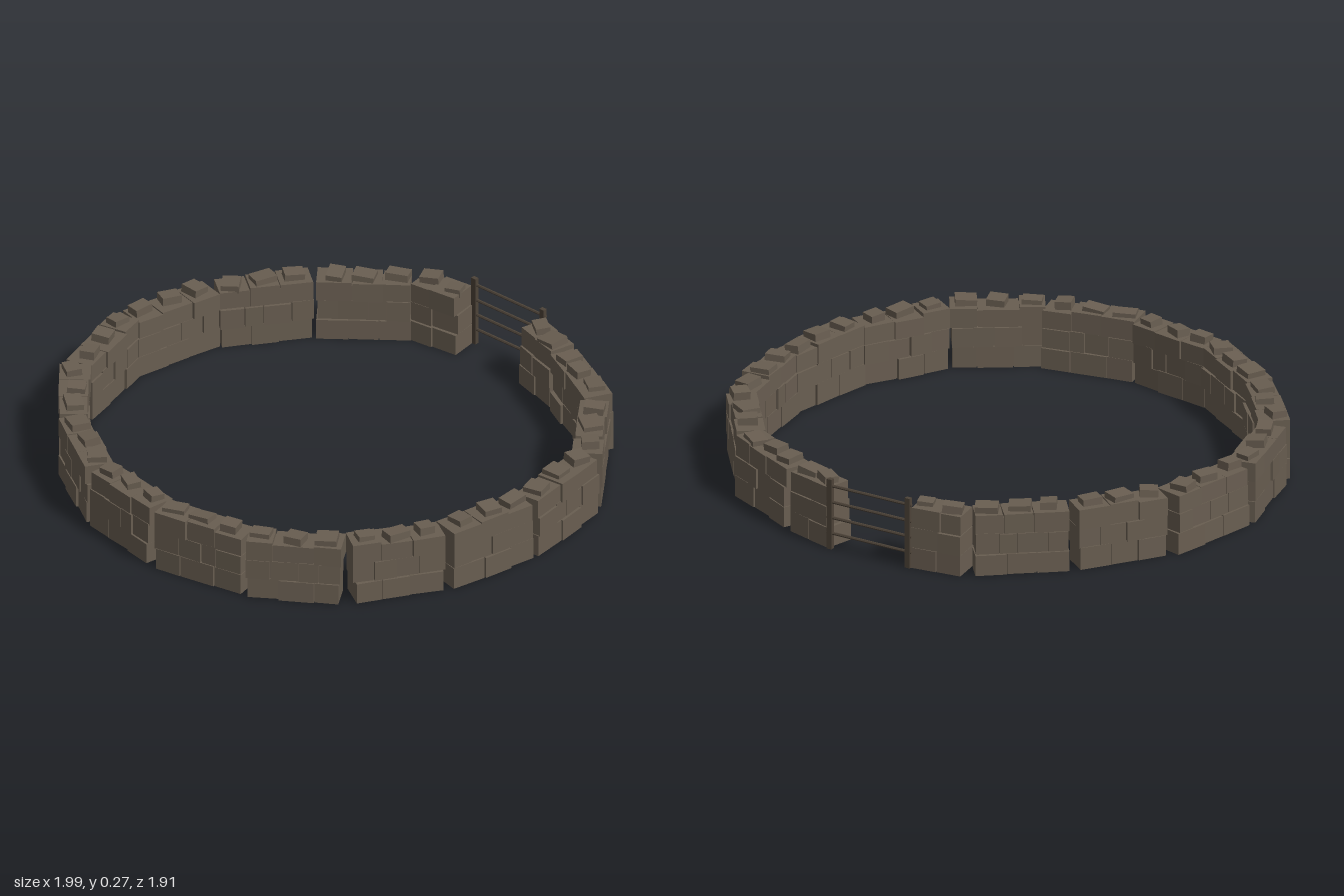
import * as THREE from 'three';

const stone = new THREE.MeshStandardMaterial({ color: 0x695e51, flatShading: true });
stone.name = 'brown stone';
const wood = new THREE.MeshStandardMaterial({ color: 0x4d4338, flatShading: true });
wood.name = 'dark wood';

// Small seeded generator for irregular masonry
let seed = 11;
const rand = (a, b) => {
  seed = (seed * 16807) % 2147483647;
  return a + (b - a) * (seed / 2147483647);
};

// Centre lines of the wall panels: x1, z1, x2, z2
const PANELS = [
  [0.17, -0.905, 0.36, -0.85], [0.38, -0.84, 0.675, -0.69],
  [0.68, -0.66, 0.89, -0.38], [0.9, -0.37, 0.937, -0.01],
  [0.935, 0, 0.862, 0.34], [0.85, 0.35, 0.67, 0.63],
  [0.655, 0.655, 0.375, 0.84], [0.365, 0.83, 0.02, 0.895],
  [0, 0.885, -0.325, 0.83], [-0.335, 0.825, -0.625, 0.645],
  [-0.63, 0.63, -0.86, 0.37], [-0.86, 0.345, -0.94, 0],
  [-0.935, -0.01, -0.855, -0.355], [-0.835, -0.365, -0.635, -0.635],
  [-0.62, -0.65, -0.355, -0.86], [-0.34, -0.88, -0.15, -0.905],
];
const ROWS = [0, 0.08, 0.155, 0.228];

function box(parent, name, material, size, position) {
  const mesh = new THREE.Mesh(new THREE.BoxGeometry(...size), material);
  mesh.name = name;
  mesh.position.set(...position);
  parent.add(mesh);
  return mesh;
}

// One straight panel: local x runs along the wall, local z across it
function makePanel([x1, z1, x2, z2]) {
  const panel = new THREE.Group();
  panel.name = 'wallPanel';
  const length = Math.hypot(x2 - x1, z2 - z1);
  panel.position.set((x1 + x2) / 2, 0, (z1 + z2) / 2);
  panel.rotation.y = -Math.atan2(z2 - z1, x2 - x1);

  // Solid core behind the joints
  box(panel, 'wallCore', stone, [length - 0.02, 0.215, 0.085], [0, 0.1075, 0]);

  // Three courses of uneven blocks
  const count = Math.max(2, Math.round(length / 0.105));
  for (let r = 0; r < 3; r++) {
    const n = count + (r === 1 && length > 0.25 ? 1 : 0);
    const cuts = [];
    for (let i = 0; i <= n; i++) {
      const shift = i === 0 || i === n ? rand(-0.005, 0.005) : rand(-0.02, 0.02);
      cuts.push(-length / 2 + (length * i) / n + shift);
    }
    for (let i = 0; i < n; i++) {
      const y0 = ROWS[r];
      const y1 = ROWS[r + 1] + (r === 2 ? rand(-0.008, 0.006) : rand(-0.002, 0.006));
      const block = box(panel, 'wallBlock', stone,
        [cuts[i + 1] - cuts[i] - 0.003, y1 - y0 - 0.002, rand(0.096, 0.112)],
        [(cuts[i] + cuts[i + 1]) / 2, (y0 + y1) / 2 - 0.001, rand(-0.004, 0.004)]);
      block.rotation.y = rand(-0.035, 0.035);
    }
  }

  // Loose cap stones along the top
  const caps = length > 0.25 ? 3 : 2;
  for (let i = 0; i < caps; i++) {
    const cap = box(panel, 'capStone', stone,
      [rand(0.055, 0.085), 0.03, rand(0.05, 0.075)],
      [((i + 0.5) / caps - 0.5) * length + rand(-0.015, 0.015), rand(0.231, 0.24), rand(-0.01, 0.01)]);
    cap.rotation.set(rand(-0.1, 0.1), rand(-0.35, 0.35), rand(-0.1, 0.1));
  }
  return panel;
}

// Barred gate closing the opening at the back
function makeGate() {
  const gate = new THREE.Group();
  gate.name = 'gate';
  for (const x of [-0.148, 0.174]) {
    box(gate, 'gatePost', wood, [0.02, 0.268, 0.016], [x, 0.134, -0.957]);
  }
  const rail = new THREE.CylinderGeometry(0.0055, 0.0055, 0.35, 6);
  for (const y of [0.06, 0.12, 0.18, 0.242]) {
    const mesh = new THREE.Mesh(rail, wood);
    mesh.name = 'gateRail';
    mesh.rotation.z = Math.PI / 2;
    mesh.position.set(0.013, y, -0.957);
    gate.add(mesh);
  }
  return gate;
}

export function createModel() {
  const model = new THREE.Group();
  model.name = 'ringWall';
  for (const line of PANELS) model.add(makePanel(line));
  model.add(makeGate());
  return model;
}
